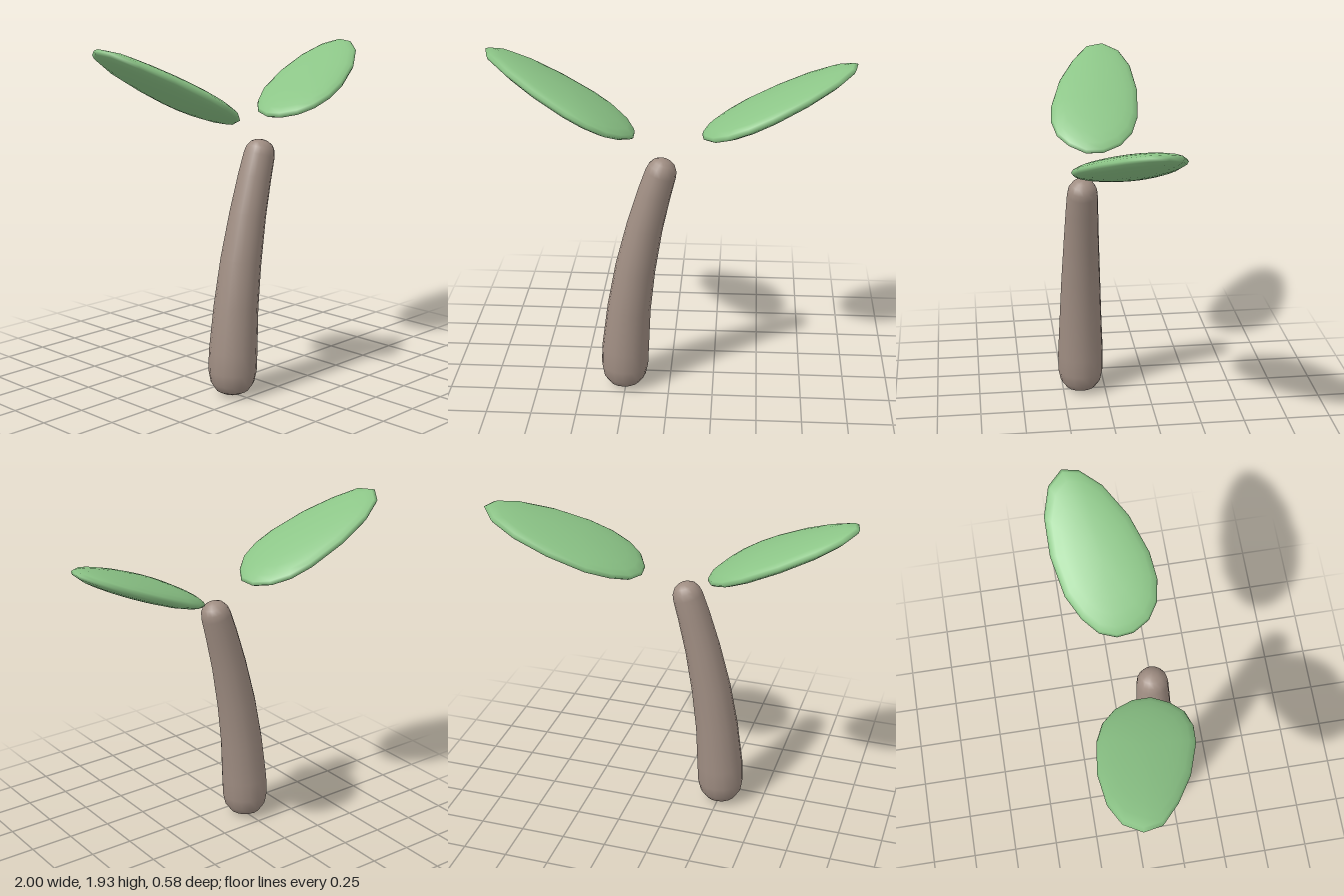
import * as THREE from 'three';
import { mergeVertices } from 'three/addons/utils/BufferGeometryUtils.js';

// Weld the seam and poles so normals are smooth all round
function weld(geometry) {
  geometry.deleteAttribute('normal');
  geometry.deleteAttribute('uv');
  const welded = mergeVertices(geometry, 1e-4);
  welded.computeVertexNormals();
  return welded;
}

// Tapered round-ended lathe, bent sideways along a parabola
function trunkGeometry() {
  const profile = [
    [0, 0.005], [0.05, 0.012], [0.09, 0.032], [0.12, 0.075], [0.133, 0.14],
    [0.133, 0.25], [0.122, 0.5], [0.112, 0.75], [0.1, 1.0], [0.091, 1.2], [0.085, 1.315],
    [0.078, 1.352], [0.06, 1.38], [0.033, 1.396], [0, 1.402],
  ].map(([r, y]) => new THREE.Vector2(r, y));
  const geometry = new THREE.LatheGeometry(profile, 16);
  const p = geometry.attributes.position;
  for (let i = 0; i < p.count; i++) {
    const x = p.getX(i), y = p.getY(i), z = p.getZ(i);
    const h = Math.min(y, 1.315);
    const tilt = Math.atan(0.244 * h);
    const over = y - h;
    p.setXYZ(i,
      -0.257 + 0.122 * h * h + x * Math.cos(tilt) + over * Math.sin(tilt),
      h - x * Math.sin(tilt) + over * Math.cos(tilt),
      z + 0.145);
  }
  return weld(geometry);
}

// Lens-shaped leaf: an outline (x, z), counterclockwise from above,
// shrunk towards its middle in rings on a sloping plane
function leafGeometry(outline, baseX, baseY, slope, thickness) {
  const n = outline.length, rings = 12;
  const cx = outline.reduce((s, q) => s + q[0], 0) / n;
  const cz = outline.reduce((s, q) => s + q[1], 0) / n;
  const len = Math.hypot(1, slope);
  const positions = [], index = [];
  for (let j = 0; j <= rings; j++) {
    const a = (j / rings) * Math.PI;
    const spread = Math.sin(a), lift = Math.cos(a) * thickness;
    for (const [ox, oz] of outline) {
      const x = cx + (ox - cx) * spread;
      positions.push(
        x - (slope / len) * lift,
        baseY + slope * (x - baseX) + lift / len,
        cz + (oz - cz) * spread);
    }
  }
  for (let j = 0; j < rings; j++) {
    for (let i = 0; i < n; i++) {
      const k = (i + 1) % n;
      const a = j * n + i, b = a + n, c = (j + 1) * n + k, d = j * n + k;
      if (j < rings - 1) index.push(a, b, c);
      if (j > 0) index.push(a, c, d);
    }
  }
  const geometry = new THREE.BufferGeometry();
  geometry.setAttribute('position', new THREE.Float32BufferAttribute(positions, 3));
  geometry.setIndex(index);
  return weld(geometry);
}

export function createModel() {
  const bark = new THREE.MeshStandardMaterial({ color: 0x9f8d82 });
  bark.name = 'bark brown';
  const green = new THREE.MeshStandardMaterial({ color: 0x8cc587 });
  green.name = 'leaf green';

  const model = new THREE.Group();
  model.name = 'sapling';
  const add = (name, geometry, material) => {
    const mesh = new THREE.Mesh(geometry, material);
    mesh.name = name;
    model.add(mesh);
  };

  add('trunk', trunkGeometry(), bark);

  add('leftLeaf', leafGeometry([
    [1, -0.17], [0.93, -0.25], [0.79, -0.295], [0.6, -0.295],
    [0.4, -0.25], [0.28, -0.18], [0.2, -0.1], [0.17, -0.01],
    [0.18, 0.08], [0.23, 0.17], [0.31, 0.225], [0.42, 0.245],
    [0.55, 0.225], [0.74, 0.145], [0.9, 0.03], [0.985, -0.08],
  ], 0.17, 1.488, 0.435, 0.058), green);

  add('rightLeaf', leafGeometry([
    [-0.98, 0.025], [-0.87, 0.12], [-0.72, 0.21], [-0.53, 0.275],
    [-0.42, 0.285], [-0.32, 0.26], [-0.25, 0.2], [-0.195, 0.11],
    [-0.195, 0.01], [-0.24, -0.09], [-0.32, -0.165], [-0.43, -0.21],
    [-0.63, -0.235], [-0.82, -0.215], [-0.94, -0.16], [-1, -0.07],
  ], -0.195, 1.5, -0.535, 0.058), green);

  return model;
}
